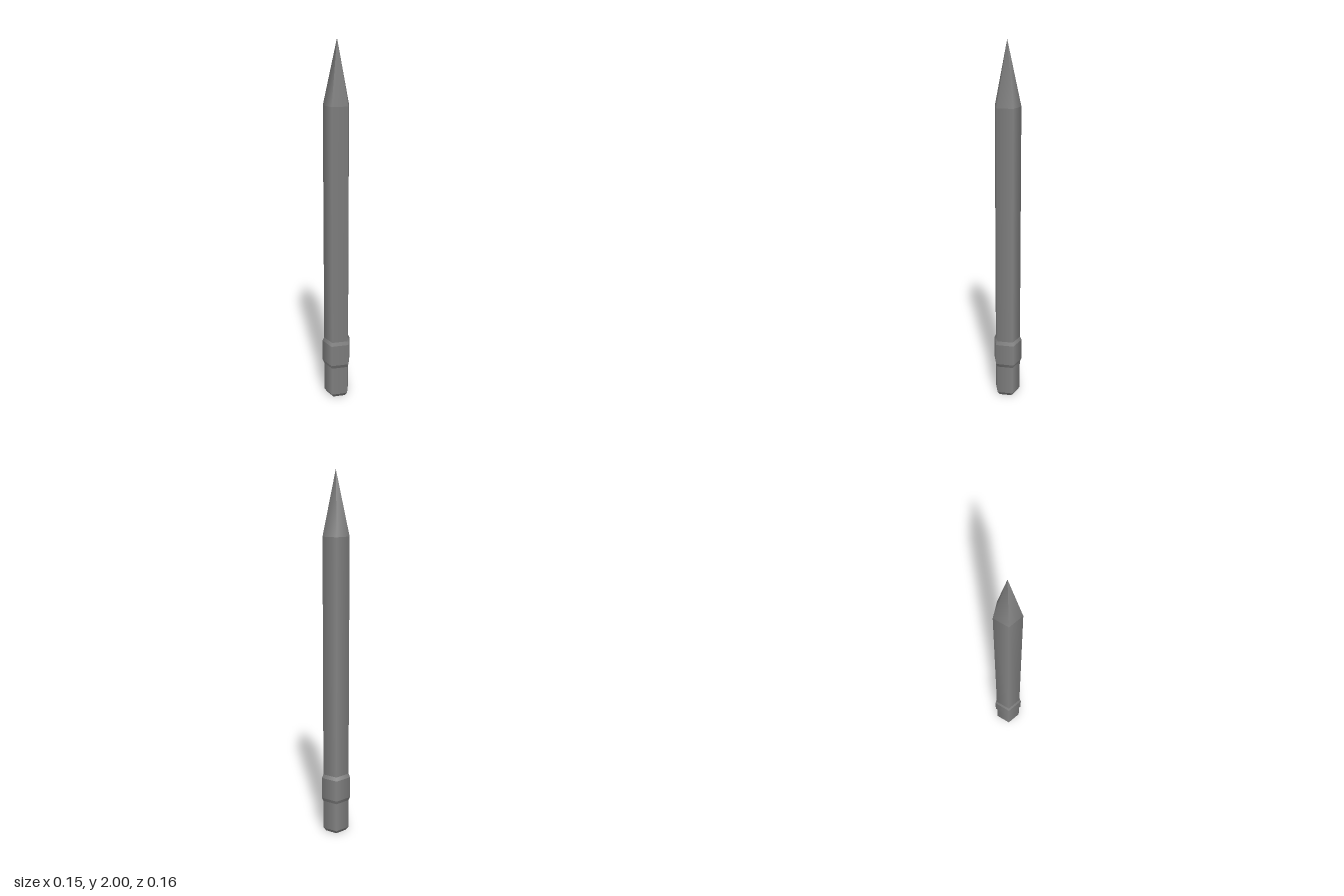
import * as THREE from 'three';

export function createModel() {
  const model = new THREE.Group();
  model.name = 'pencil';
  const grey = new THREE.MeshStandardMaterial({ color: 0x808080 });
  grey.name = 'grey';

  const R = 0.074;      // shaft radius
  const BAND = 0.0835;  // ferrule radius

  // Five-sided part turned from a bottom-to-top profile, one corner towards +x
  function turned(name, ...profile) {
    const points = profile.map(([r, y]) => new THREE.Vector2(r, y));
    const geometry = new THREE.LatheGeometry(points, 5, Math.PI / 2);
    const mesh = new THREE.Mesh(geometry, grey);
    mesh.name = name;
    mesh.position.x = -0.008; // centres the pentagon's bounds
    model.add(mesh);
  }

  // Eraser with a bevelled end
  turned('eraserEnd', [0, 0], [0.058, 0]);
  turned('eraserBevel', [0.058, 0], [R, 0.02]);
  turned('eraser', [R, 0.02], [R, 0.19]);

  // Ferrule band with sloped rims
  turned('ferruleLowerRim', [R, 0.185], [BAND, 0.205]);
  turned('ferrule', [BAND, 0.205], [BAND, 0.325]);
  turned('ferruleUpperRim', [BAND, 0.325], [R, 0.345]);

  // Long shaft and sharpened point
  turned('shaft', [R, 0.345], [R, 1.66]);
  turned('tip', [R, 1.66], [0, 2]);

  return model;
}
